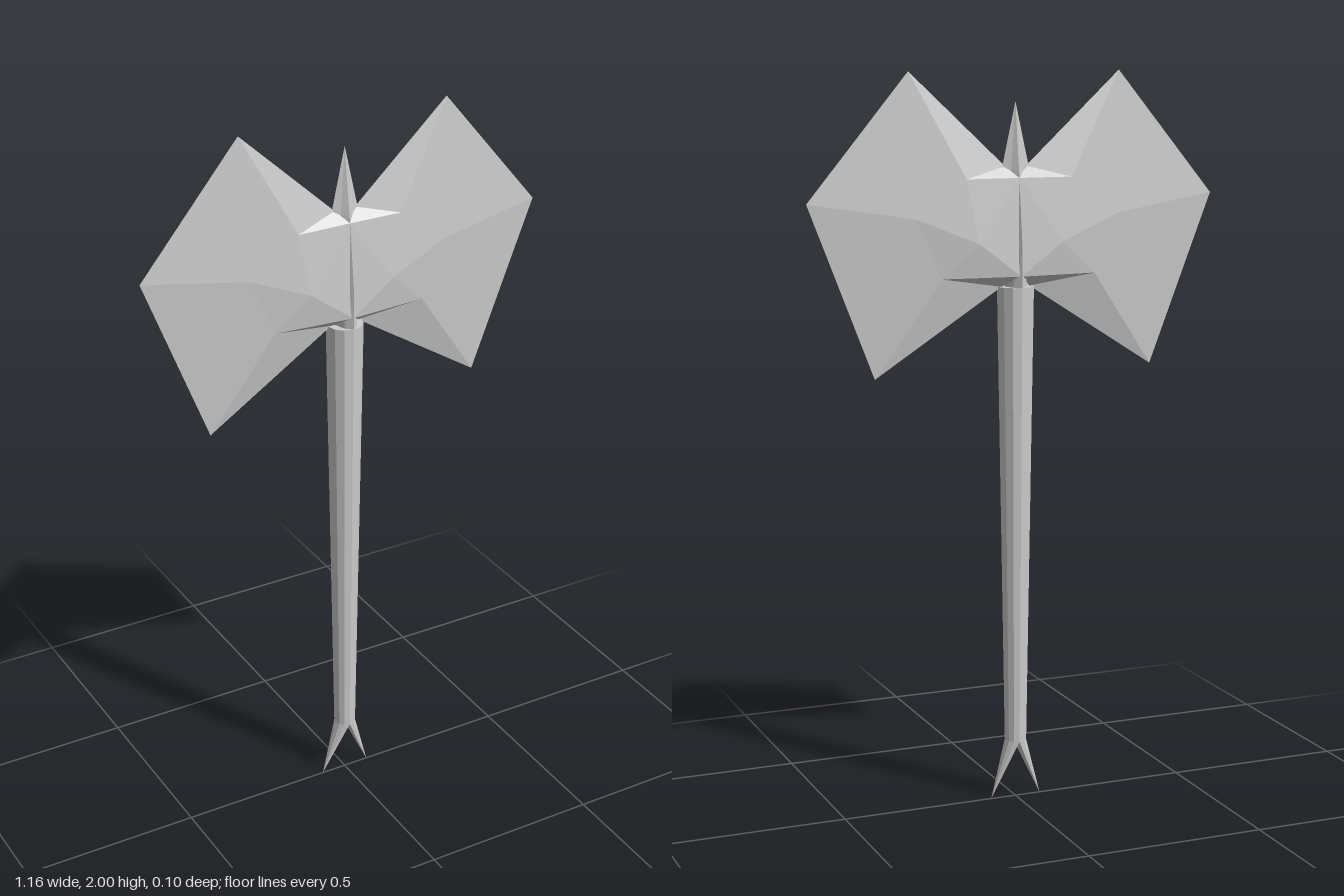
import * as THREE from 'three';

const material = new THREE.MeshStandardMaterial({ color: 0xcccccc, flatShading: true, side: THREE.DoubleSide });

function facets(name, triangles) {
  const geometry = new THREE.BufferGeometry();
  geometry.setAttribute('position', new THREE.Float32BufferAttribute(triangles.flat(2), 3));
  geometry.computeVertexNormals();
  const mesh = new THREE.Mesh(geometry, material);
  mesh.name = name;
  return mesh;
}

// Skins rings of equal point count; a ring may shrink to a point.
function loft(name, rings) {
  const triangles = [];
  for (let r = 0; r < rings.length - 1; r++) {
    const low = rings[r], high = rings[r + 1], n = low.length;
    for (let i = 0; i < n; i++) {
      const j = (i + 1) % n;
      triangles.push([low[i], high[i], high[j]], [low[i], high[j], low[j]]);
    }
  }
  return facets(name, triangles);
}

// One blade: faceted front half, mirrored in z.
function makeBlade(name) {
  const v = {
    innerTop: [0.03, 1.75, 0], top: [0.3, 2, 0], outer: [0.58, 1.665, 0],
    bottom: [0.4, 1.2, 0], innerBottom: [0.04, 1.43, 0],
    ridge: [0.29, 1.62, 0.027], shoulder: [0.15, 1.72, 0.03],
    cheek: [0.12, 1.55, 0.045], heel: [0.22, 1.46, 0.027],
    hubLow: [0, 1.46, 0.045], hubHigh: [0, 1.72, 0.028],
  };
  const faces = [
    'innerTop shoulder top', 'shoulder ridge top', 'ridge outer top',
    'ridge bottom outer', 'ridge heel bottom', 'innerBottom bottom heel',
    'cheek heel ridge', 'cheek ridge shoulder', 'hubLow cheek hubHigh',
    'hubHigh cheek shoulder', 'hubHigh shoulder innerTop',
    'hubLow heel cheek', 'hubLow innerBottom heel',
  ].map((face) => face.split(' ').map((key) => v[key]));
  const back = faces.map(([a, b, c]) => [a, c, b].map(([x, y, z]) => [x, y, -z]));
  return facets(name, [...faces, ...back]);
}

// Four-pointed ring for the spike, with shallow valleys between the fins.
function starRing(y, rx, rz, valley) {
  return Array.from({ length: 8 }, (_, i) => {
    const a = -i * Math.PI / 4, k = i % 2 ? valley : 1;
    return [rx * k * Math.cos(a), y, rz * k * Math.sin(a)];
  });
}

// Pointed prong growing from half of the handle's lower rim.
function makeProng(name) {
  const tip = [0.073, 0, 0];
  const rim = Array.from({ length: 7 }, (_, i) => {
    const a = -Math.PI / 2 + i * Math.PI / 6;
    return [0.03 * Math.cos(a), 0.165, 0.03 * Math.sin(a)];
  });
  const triangles = [];
  for (let i = 0; i < 6; i++) triangles.push([rim[i], rim[i + 1], tip]);
  triangles.push([rim[6], rim[0], tip]);
  return facets(name, triangles);
}

export function createModel() {
  const model = new THREE.Group();
  model.name = 'doubleAxe';

  // Tapered handle
  const handle = new THREE.Mesh(new THREE.CylinderGeometry(0.05, 0.03, 1.265, 12), material);
  handle.name = 'handle';
  handle.position.y = 0.165 + 1.265 / 2;
  model.add(handle);

  // Spike rising between the blades
  model.add(loft('topSpike', [
    starRing(1.42, 0.03, 0.05, 0.9),
    starRing(1.53, 0.03, 0.05, 0.8),
    starRing(1.68, 0.038, 0.033, 0.6),
    starRing(1.74, 0.04, 0.025, 0.6),
    starRing(1.92, 0, 0, 1),
  ]));

  // Blades and forked foot, repeated on both sides
  for (const side of ['left', 'right']) {
    const blade = makeBlade(side + 'Blade');
    const prong = makeProng(side + 'Prong');
    if (side === 'right') blade.rotation.y = prong.rotation.y = Math.PI;
    model.add(blade, prong);
  }
  return model;
}
